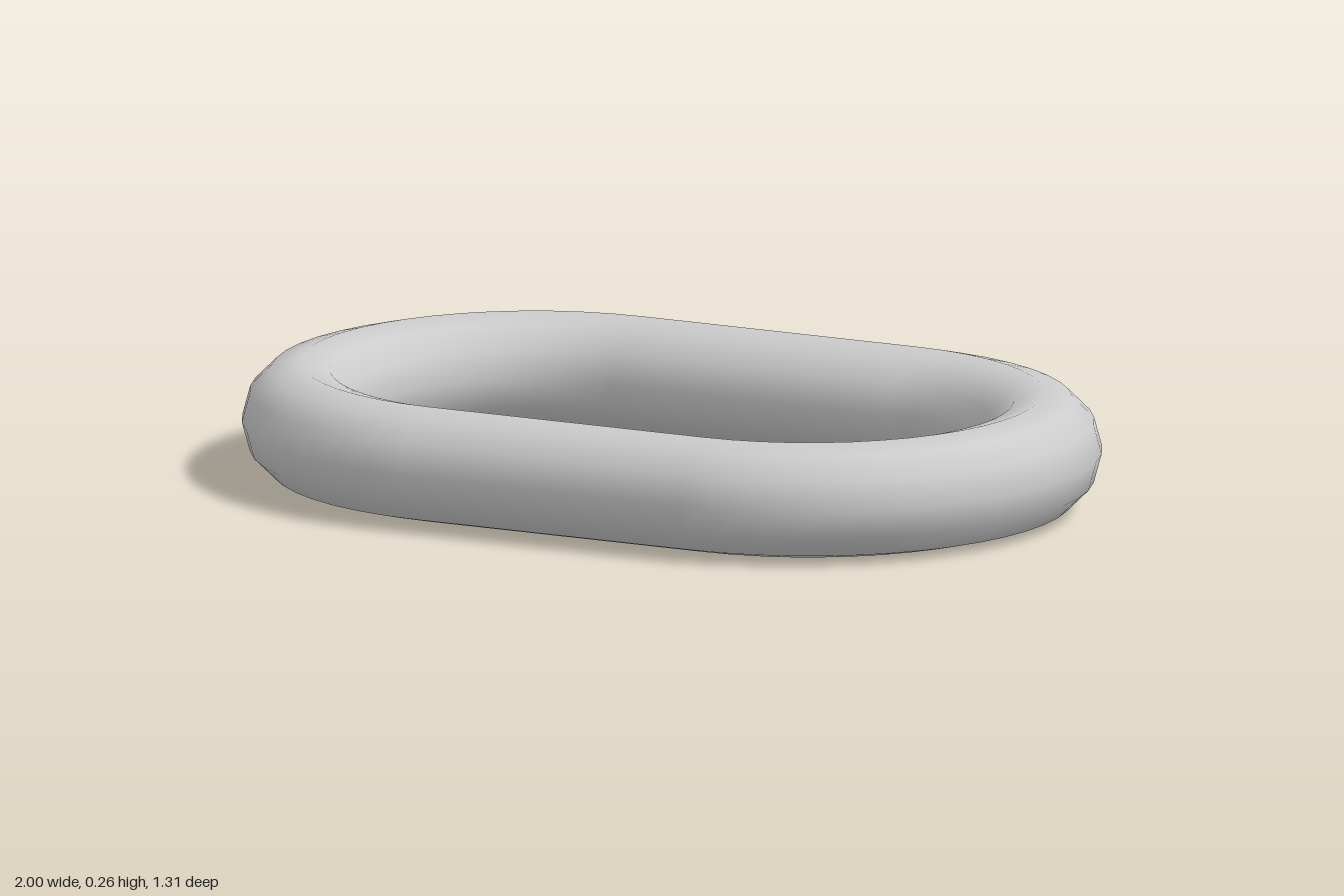
import * as THREE from 'three';
import { mergeGeometries } from 'three/addons/utils/BufferGeometryUtils.js';

const BAR = 0.1315;          // radius of the round bar
const BEND = 0.524;          // centre-line radius of the end bends
const HALF = 0.345;          // half length of the straight sides
const SIDES = 12;            // sides of the bar section
const BEND_STEPS = 24;       // steps around each half-circle

export function createModel() {
  const parts = [];
  for (const s of [1, -1]) {
    // half-circle bend at each end
    parts.push(new THREE.TorusGeometry(BEND, BAR, SIDES, BEND_STEPS, Math.PI)
      .rotateX(Math.PI / 2)
      .rotateY(s * Math.PI / 2)
      .translate(s * HALF, BAR, 0));
    // straight bar along each long side
    parts.push(new THREE.CylinderGeometry(BAR, BAR, 2 * HALF, SIDES, 1, true)
      .rotateZ(Math.PI / 2)
      .translate(0, BAR, s * BEND));
  }

  const link = new THREE.Mesh(
    mergeGeometries(parts),
    new THREE.MeshStandardMaterial({ color: 0xcccccc })
  );
  link.name = 'chainLink';

  const model = new THREE.Group();
  model.name = 'ovalLink';
  model.add(link);
  return model;
}
